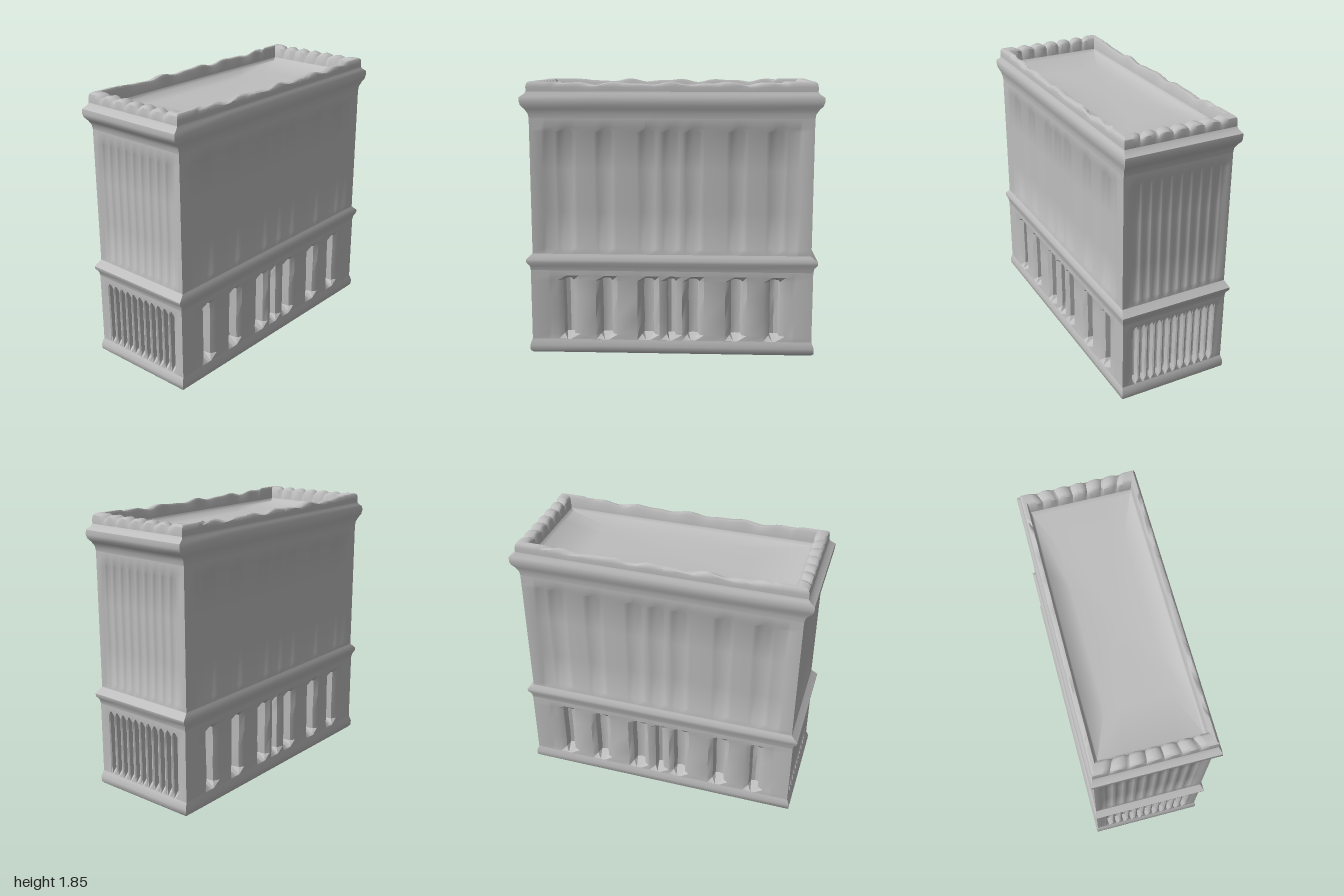
import * as THREE from 'three';
import { toCreasedNormals } from 'three/addons/utils/BufferGeometryUtils.js';

// Surface through a grid of points; rows run upward, columns run to the right
function gridGeometry(rows, crease) {
  const n = rows[0].length, index = [];
  for (let j = 0; j < rows.length - 1; j++) {
    for (let i = 0; i < n - 1; i++) {
      const a = j * n + i, b = a + 1, c = b + n, d = a + n;
      index.push(a, b, c, a, c, d);
    }
  }
  const g = new THREE.BufferGeometry();
  g.setAttribute('position', new THREE.Float32BufferAttribute(rows.flat(2), 3));
  g.setIndex(index);
  return toCreasedNormals(g, crease);
}

// Worn crest of the parapet: 1 on a crest, 0 in a notch, whole at the corners
function crest(side, t) {
  if (Math.abs(t) > 0.82) return 1;
  if (side % 2) return Math.sqrt(Math.abs(Math.cos(t * 0.375 * Math.PI / 0.107)));
  return 0.55 + 0.28 * Math.cos(t * 17) + 0.17 * Math.cos(t * 29 + side);
}

// Rectangular loft; each profile row is [halfX, halfZ, y, crestDrop, crestInset]
function loft(profile, steps, crease = 0.75) {
  const rows = profile.map(([hx, hz, y, drop = 0, inset = 0]) => {
    const row = [];
    for (let side = 0; side < 4; side++) {
      for (let i = 0; i <= steps; i++) {
        const t = -1 + 2 * i / steps, notch = 1 - crest(side, t);
        const x = [t, 1, -t, -1][side] * hx, z = [1, -t, -1, t][side] * hz;
        const dx = side % 2 ? Math.sign(x) * inset * notch : 0;
        row.push([x + dx, y - drop * notch, z]);
      }
    }
    return row;
  });
  return gridGeometry(rows, crease);
}

// Wall facing +z with a shallow sunken panel and vertical pointed recesses in it.
// Each recess is [centre, halfWidth]; its splayed jambs reach out by flare.
function slottedWall({ half, out, y0, y1, low, high, tip, slots, depth, flare, lip, panel, sunk, crease }) {
  const levels = [
    [y0, 0.35, 0], [low, 0.35, 0], [low + tip, 1, 1], [(low * 2 + high) / 3, 0.92, 1],
    [(low + high * 2) / 3, 1.04, 1], [high - tip, 1, 1], [high, 0.3, 0], [y1, 0.3, 0],
  ];
  const section = [[-1, lip], [-0.75, 0.9], [0, 1], [0.75, 0.9], [1, lip]];
  const rows = levels.map(([y, narrow, sink]) => {
    const floor = out - sunk * sink;
    const row = [[-half, y, out], [-panel, y, out], [-panel + 0.02, y, floor]];
    for (const [c, w] of slots) {
      row.push([c - flare, y, floor]);
      for (const [s, d] of section) row.push([c + s * w * narrow, y, floor - d * depth * sink]);
      row.push([c + flare, y, floor]);
    }
    row.push([panel - 0.02, y, floor], [panel, y, out], [half, y, out]);
    return row;
  });
  return gridGeometry(rows, crease);
}

export function createModel() {
  const model = new THREE.Group();
  model.name = 'building';
  const stone = new THREE.MeshStandardMaterial({ color: 0xbebebe });
  stone.name = 'grey stone';

  const add = (name, geometry, turn = 0) => {
    const mesh = new THREE.Mesh(geometry, stone);
    mesh.name = name;
    mesh.rotation.y = turn;
    model.add(mesh);
  };

  // Horizontal mouldings; the underside is slightly hollowed
  add('plinth', loft([
    [0, 0, 0.03], [0.87, 0.3, 0.025], [0.93, 0.352, 0], [0.955, 0.375, 0], [0.97, 0.388, 0.015],
    [0.972, 0.39, 0.05], [0.962, 0.384, 0.08], [0.955, 0.38, 0.095],
  ], 4));
  add('beltCourse', loft([
    [0.955, 0.38, 0.58], [0.96, 0.385, 0.61], [0.982, 0.395, 0.635], [0.984, 0.396, 0.655],
    [0.955, 0.385, 0.68], [0.94, 0.378, 0.695],
  ], 4));
  add('cornice', loft([
    [0.94, 0.378, 1.61], [0.945, 0.38, 1.64], [0.965, 0.388, 1.67], [0.99, 0.398, 1.695],
    [0.998, 0.401, 1.72], [0.996, 0.4, 1.75], [0.965, 0.388, 1.77], [0.955, 0.383, 1.785],
  ], 4));

  // Parapet with worn teeth, and the dished roof sunk inside it
  add('parapet', loft([
    [0.955, 0.383, 1.785], [0.955, 0.383, 1.815, 0.006, -0.004], [0.95, 0.38, 1.84, 0.022, -0.012],
    [0.935, 0.37, 1.85, 0.027, -0.014], [0.885, 0.35, 1.85, 0.027, 0.012],
    [0.868, 0.342, 1.835, 0.022, 0.012], [0.86, 0.336, 1.765],
  ], 72));
  add('roof', loft([
    [0.86, 0.336, 1.765], [0.84, 0.326, 1.745], [0.55, 0.21, 1.732], [0, 0, 1.725],
  ], 4, 1));

  // Walls, the same on opposite faces
  const bays = [
    [-0.70, 0.034], [-0.44, 0.042], [-0.155, 0.044], [0, 0.03], [0.15, 0.042], [0.44, 0.042], [0.70, 0.036],
  ];
  const evenly = (count, gap, w) => Array.from({ length: count }, (_, i) => [(i - (count - 1) / 2) * gap, w]);
  const lower = { y0: 0.095, y1: 0.58, low: 0.096, high: 0.545, tip: 0.035, crease: 0.6 };
  const upper = { y0: 0.695, y1: 1.61, low: 0.70, high: 1.55, tip: 0.03, crease: 1.2 };
  const broadWindows = slottedWall({
    ...lower, half: 0.955, out: 0.38, panel: 0.84, sunk: 0.006,
    slots: bays, depth: 0.085, flare: 0.074, lip: 0.25,
  });
  const endWindows = slottedWall({
    ...lower, half: 0.38, out: 0.955, panel: 0.35, sunk: 0.004,
    slots: evenly(11, 0.057, 0.018), depth: 0.045, flare: 0.026, lip: 0.15,
  });
  const broadPanels = slottedWall({
    ...upper, half: 0.94, out: 0.378, panel: 0.86, sunk: 0.01,
    slots: bays.map(([c]) => [c, 0.055]), depth: 0.006, flare: 0.072, lip: 0.15,
  });
  const endFlutes = slottedWall({
    ...upper, half: 0.378, out: 0.94, panel: 0.345, sunk: 0.008,
    slots: evenly(9, 0.07, 0.023), depth: 0.006, flare: 0.032, lip: 0.3,
  });
  for (const [side, turn] of [['front', 0], ['back', Math.PI]]) {
    add(side + 'LowerWall', broadWindows, turn);
    add(side + 'UpperWall', broadPanels, turn);
  }
  for (const [side, turn] of [['left', Math.PI / 2], ['right', -Math.PI / 2]]) {
    add(side + 'LowerWall', endWindows, turn);
    add(side + 'UpperWall', endFlutes, turn);
  }
  return model;
}
